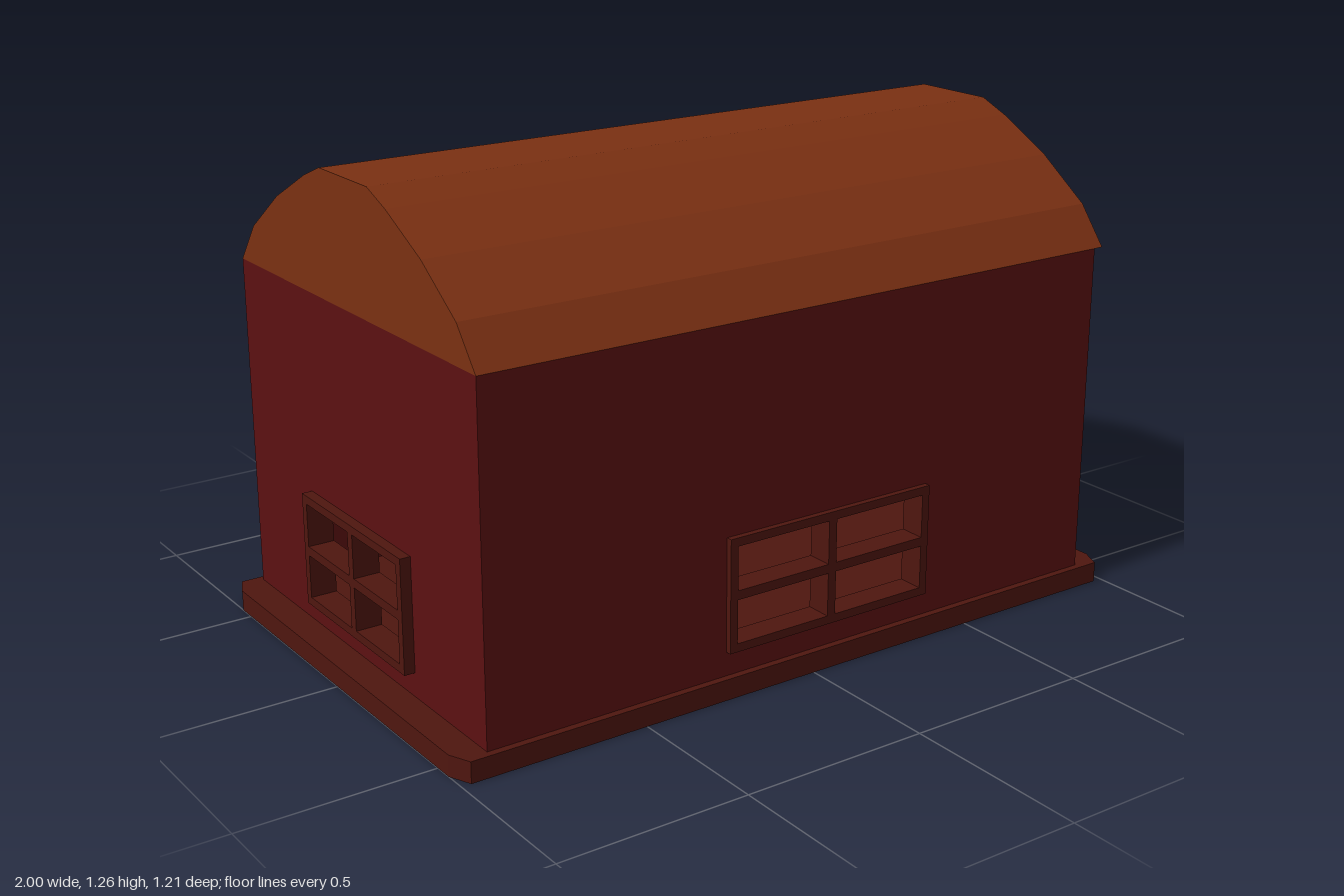
import * as THREE from 'three';

const mat = (color, side = THREE.FrontSide) =>
  new THREE.MeshStandardMaterial({ color, flatShading: true, side });
const RED = mat(0x5c1112), ROOF = mat(0x7b3012), FRAME = mat(0x4f160f);
const DOOR = mat(0x300f10), TRIM = mat(0xcccccc);

const X0 = -0.922, X1 = 0.918, ZW = 0.588, Y0 = 0.055, Y1 = 0.94, T = 0.04;

const path = (pts, C = THREE.Shape) => new C(pts.map(([x, y]) => new THREE.Vector2(x, y)));
const rect = (a, b, c, d) => [[a, b], [c, b], [c, d], [a, d]];

// Extruded plate whose outer face lies at z = front
function plate(name, pts, holes, depth, front, material) {
  const shape = path(pts);
  holes.forEach(h => shape.holes.push(path(h, THREE.Path)));
  const geo = new THREE.ExtrudeGeometry(shape, { depth, bevelEnabled: false });
  geo.translate(0, 0, front - depth);
  const mesh = new THREE.Mesh(geo, material);
  mesh.name = name;
  return mesh;
}

// Four-pane open window: outer rectangle, border and glazing bar widths
function windowFrame(name, [a, b, c, d], border, bar, depth, front) {
  const mx = (a + c) / 2, my = (b + d) / 2, h = bar / 2, holes = [];
  for (const [l, r] of [[a + border, mx - h], [mx + h, c - border]])
    for (const [lo, hi] of [[b + border, my - h], [my + h, d - border]])
      holes.push(rect(l, lo, r, hi));
  return plate(name, rect(a, b, c, d), holes, depth, front, FRAME);
}

// One side of the barn, drawn facing +z and then turned into place
function side(name, turn, x, z, ...parts) {
  const g = new THREE.Group();
  g.name = name;
  g.rotation.y = turn;
  g.position.set(x, 0, z);
  g.add(...parts);
  return g;
}

export function createModel() {
  const barn = new THREE.Group();
  barn.name = 'barn';

  // Foundation slab with clipped corners
  const slab = plate('foundation', [
    [-1, -0.55], [-0.975, -0.607], [0.975, -0.607], [1, -0.55],
    [1, 0.55], [0.975, 0.607], [-0.975, 0.607], [-1, 0.55]], [], Y0, Y0, FRAME);
  slab.rotation.x = -Math.PI / 2;
  barn.add(slab);

  // Long walls with wide windows
  const long = (name, turn, z, s) => {
    const xs = [X0 + T, X1 - T].map(v => v * s).sort((p, q) => p - q);
    const c = 0.053 * s;
    const win = [c - 0.31, 0.118, c + 0.31, 0.414];
    return side(name, turn, 0, z,
      plate('longWall', rect(xs[0], Y0, xs[1], Y1), [rect(...win)], T, 0, RED),
      windowFrame('wideWindow', win, 0.022, 0.024, 0.07, 0.016));
  };
  barn.add(long('frontSide', 0, ZW, 1), long('backSide', Math.PI, -ZW, -1));

  // Plain end wall with a window
  const endWin = [-0.252, 0.118, 0.258, 0.414];
  barn.add(side('rearEnd', -Math.PI / 2, X0, 0,
    plate('endWall', rect(-ZW, Y0, ZW, Y1), [rect(...endWin)], T, 0, RED),
    windowFrame('endWindow', endWin, 0.022, 0.024, 0.07, 0.028)));

  // Door end: wall, loft window, loft trim, door and cross brace
  const loft = [-0.127, 0.64, 0.127, 0.85];
  const [a, b, c, d] = [-0.208, Y0, 0.197, 0.49], k = 0.028;
  const braces = [
    [[a, b], [a + k * 0.6, b], [c, d - k], [c, d], [c - k * 0.6, d], [a, b + k]],
    [[c, b], [c, b + k], [a + k * 0.6, d], [a, d], [a, d - k], [c - k * 0.6, b]]];
  barn.add(side('doorEnd', Math.PI / 2, X1, 0,
    plate('endWall', rect(-ZW, Y0, ZW, Y1), [rect(...loft)], T, 0, RED),
    windowFrame('loftWindow', loft, 0.011, 0.016, 0.05, 0.002),
    plate('loftTrim', [[-0.233, 0.52], [0.233, 0.52], [0.233, Y1], [0.19, Y1],
      [0.19, 0.553], [-0.19, 0.553], [-0.19, Y1], [-0.233, Y1]], [], 0.008, 0.004, TRIM),
    plate('door', rect(a, b, c, d), [], 0.01, 0.003, DOOR),
    ...braces.map((p, i) => plate('doorBrace' + (i + 1), p, [], 0.012, 0.014 - i * 0.0005, TRIM))));

  // Curved roof shell, overhanging the door end
  const mirror = half => [...half, ...half.map(([z, y]) => [-z, y]).reverse()];
  const outer = mirror([[ZW, Y1], [0.51, 1.04], [0.362, 1.145], [0.205, 1.226], [0.12, 1.26]]);
  const inner = mirror([[0.545, Y1], [0.478, 1.025], [0.342, 1.122], [0.19, 1.21], [0.11, 1.23]]);
  const roofEnd = 0.945;
  barn.add(side('roof', Math.PI / 2, 0, 0,
    plate('roofShell', [...outer, ...inner.slice().reverse()], [], roofEnd - X0, roofEnd, ROOF),
    plate('doorGable', inner, [], T, X1, ROOF),
    plate('rearGable', inner, [], T, X0 + T, ROOF)));

  return barn;
}
